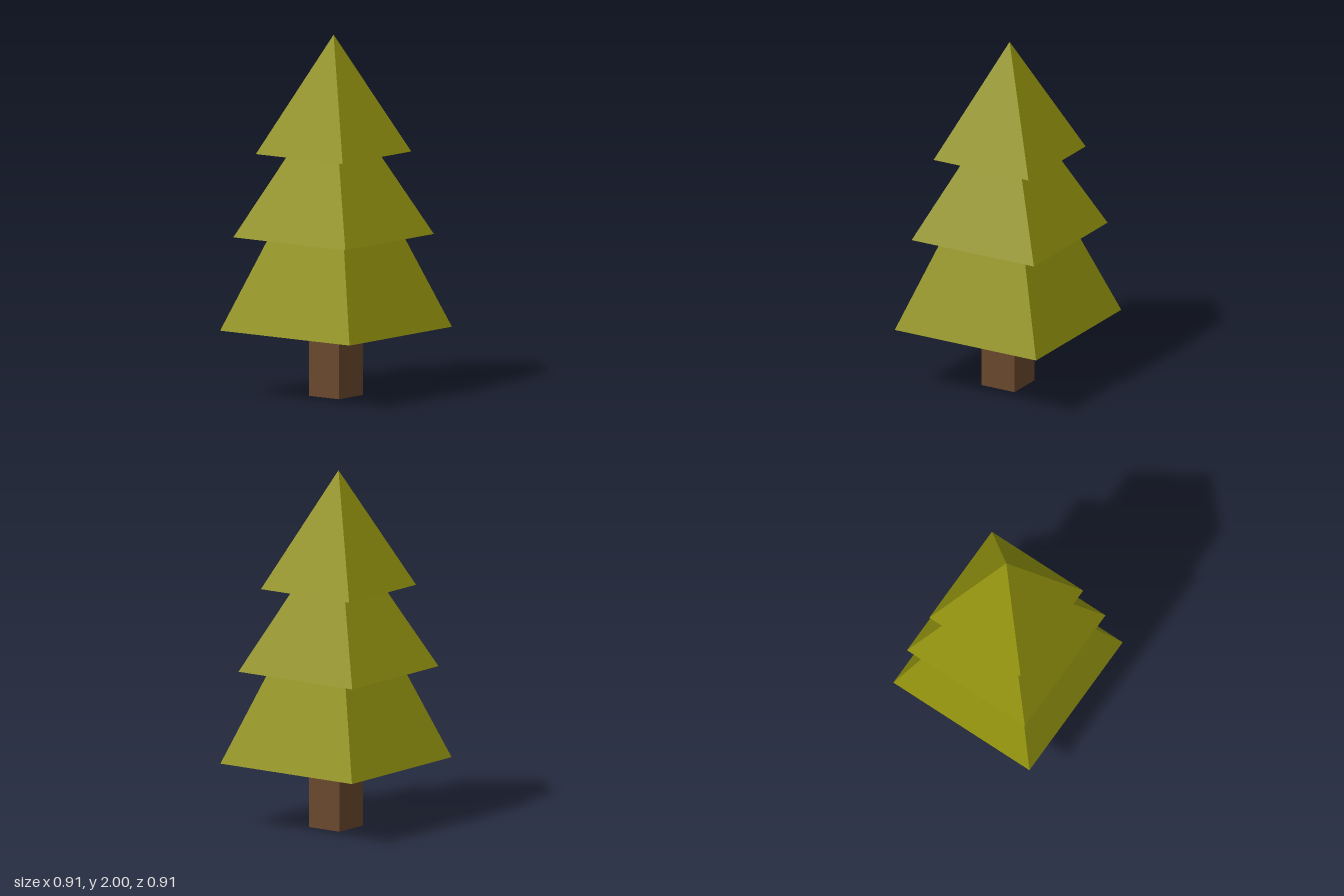
import * as THREE from 'three';

const foliage = new THREE.MeshStandardMaterial({ name: 'foliage green', color: 0x90900f, flatShading: true, side: THREE.DoubleSide });
const bark = new THREE.MeshStandardMaterial({ name: 'bark brown', color: 0x68472d, flatShading: true, side: THREE.DoubleSide });

// Open four-sided pyramid with its sides square to the axes, base at y = 0
function pyramid(half, height) {
  const g = new THREE.ConeGeometry(half * Math.SQRT2, height, 4, 1, true);
  return g.rotateY(Math.PI / 4).translate(0, height / 2, 0);
}

// One tier of branches: sloping sides and a slightly hollow underside
function makeTier(name, { x, base, apex, half, hollow }) {
  const tier = new THREE.Group();
  tier.name = name;
  const sides = new THREE.Mesh(pyramid(half, apex - base), foliage);
  sides.name = name + 'Sides';
  const underside = new THREE.Mesh(pyramid(half, hollow), foliage);
  underside.name = name + 'Underside';
  tier.add(sides, underside);
  tier.position.set(x, base, 0);
  return tier;
}

export function createModel() {
  const tree = new THREE.Group();
  tree.name = 'firTree';

  // Square trunk, open at the bottom
  const trunkHeight = 0.4;
  const trunkGeometry = new THREE.CylinderGeometry(0.105 * Math.SQRT2, 0.105 * Math.SQRT2, trunkHeight, 4, 1, true);
  trunkGeometry.rotateY(Math.PI / 4).translate(0, trunkHeight / 2, 0);
  const trunk = new THREE.Mesh(trunkGeometry, bark);
  trunk.name = 'trunk';
  tree.add(trunk);

  // Three overlapping tiers, the upper two set slightly off centre
  tree.add(
    makeTier('lowerBranches', { x: 0, base: 0.37, apex: 1.59, half: 0.453, hollow: 0.02 }),
    makeTier('middleBranches', { x: -0.017, base: 0.885, apex: 1.715, half: 0.392, hollow: 0.02 }),
    makeTier('topBranches', { x: -0.017, base: 1.345, apex: 2, half: 0.304, hollow: 0.01 }),
  );
  return tree;
}
